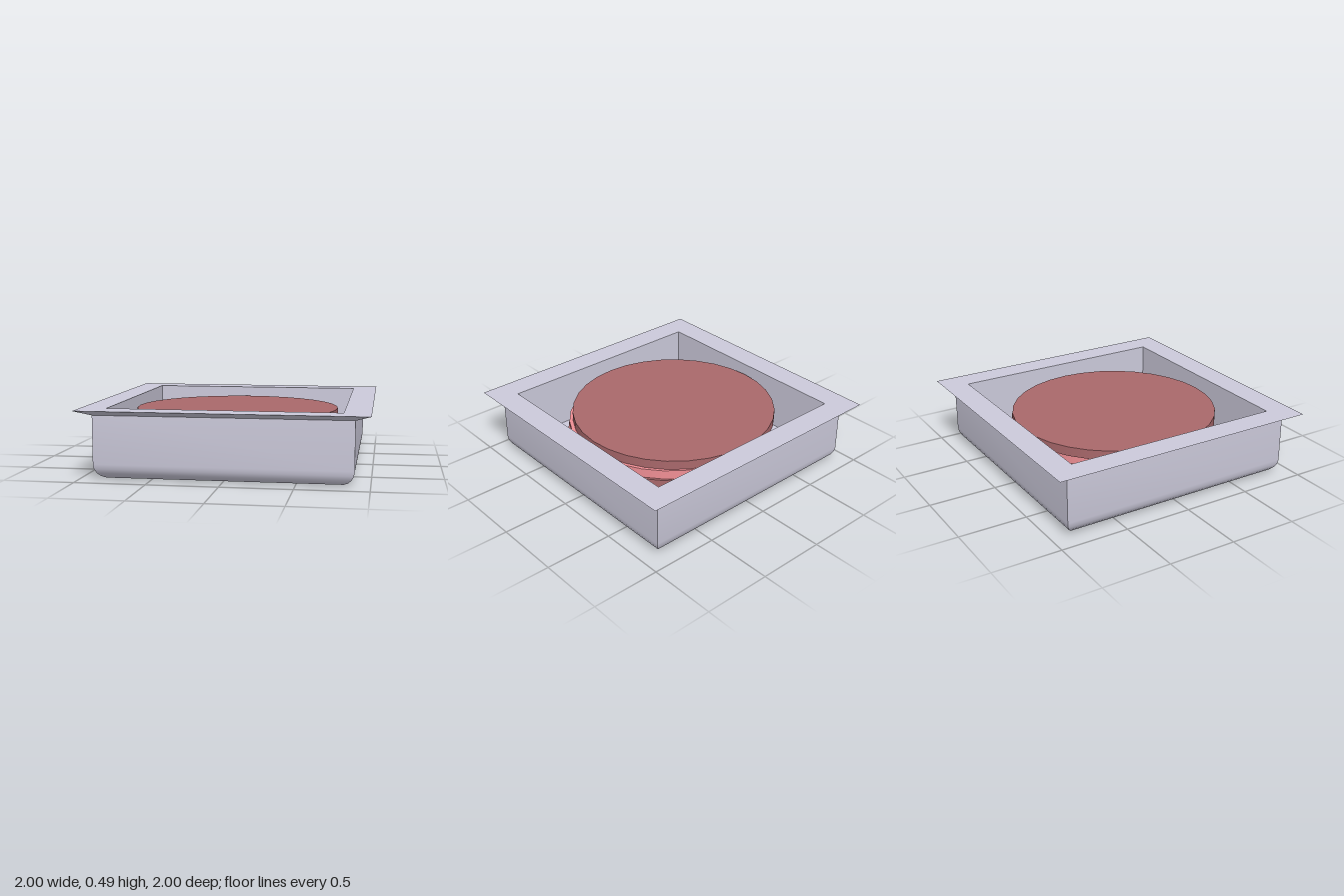
import * as THREE from 'three';
import { toCreasedNormals } from 'three/addons/utils/BufferGeometryUtils.js';

const trayMat = new THREE.MeshStandardMaterial({ color: 0xcccadb });
const darkMat = new THREE.MeshStandardMaterial({ color: 0xa9686b });
const pinkMat = new THREE.MeshStandardMaterial({ color: 0xf08f95 });

const FLOOR = 0.08;
const STACK_TOP = 0.42;

// Square tray: a half-section turned in four mitred sides
function makeTray() {
  const wall = 0.895, bend = 0.11;
  const profile = [[0, 0]];
  for (let i = 0; i <= 5; i++) {
    const a = (i / 5) * Math.PI / 2;
    profile.push([wall - bend + bend * Math.sin(a), bend - bend * Math.cos(a)]);
  }
  // wall top, flared rim, inner wall, floor
  profile.push([wall, 0.45], [1, 0.49], [0.815, 0.49], [0.815, FLOOR], [0, FLOOR]);
  const points = profile.map(([r, y]) => new THREE.Vector2(r * Math.SQRT2, y));
  const geometry = new THREE.LatheGeometry(points, 4, Math.PI / 4);
  const tray = new THREE.Mesh(toCreasedNormals(geometry, 0.4), trayMat);
  tray.name = 'tray';
  return tray;
}

// Round slices piled loosely, alternating in colour, bottom to top
function makeStack() {
  const stack = new THREE.Group();
  stack.name = 'sliceStack';
  const offsets = [[0, 0], [-0.01, 0], [0.02, -0.008], [0, -0.003], [-0.03, -0.007]];
  const thickness = (STACK_TOP - FLOOR) / offsets.length;
  const geometry = new THREE.CylinderGeometry(0.76, 0.76, thickness, 32);
  offsets.forEach(([x, z], i) => {
    const slice = new THREE.Mesh(geometry, i % 2 ? pinkMat : darkMat);
    slice.name = i % 2 ? 'pinkSlice' : 'darkSlice';
    slice.position.set(x, FLOOR + (i + 0.5) * thickness, z);
    stack.add(slice);
  });
  return stack;
}

export function createModel() {
  const model = new THREE.Group();
  model.name = 'trayWithSlices';
  model.add(makeTray(), makeStack());
  return model;
}
